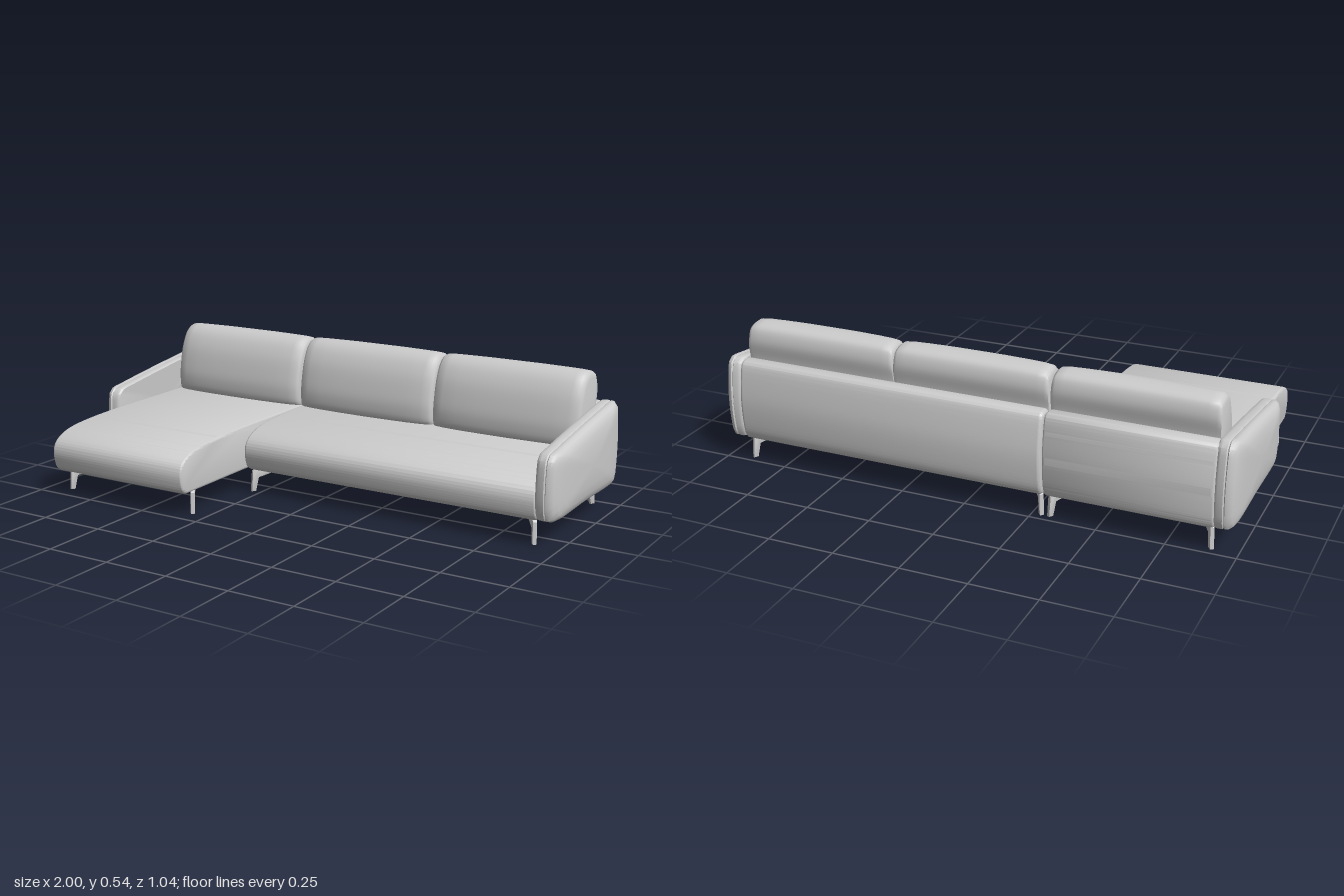
import * as THREE from 'three';
import { toCreasedNormals } from 'three/addons/utils/BufferGeometryUtils.js';

const material = new THREE.MeshStandardMaterial({ color: 0xcccccc });

function addMesh(parent, name, geometry, crease = 0.7) {
  const mesh = new THREE.Mesh(toCreasedNormals(geometry, crease), material);
  mesh.name = name;
  parent.add(mesh);
  return mesh;
}

// Side profile (z, y) extruded across x from x0 to x1 with rounded ends
function extrudeAcross(shape, x0, x1, bevel) {
  const depth = x1 - x0 - 2 * bevel;
  const geometry = new THREE.ExtrudeGeometry(shape, {
    depth, curveSegments: 24, bevelSize: bevel, bevelThickness: bevel,
    bevelOffset: -bevel, bevelSegments: 4,
  });
  geometry.translate(0, 0, -depth / 2);
  geometry.rotateY(-Math.PI / 2);
  geometry.translate((x0 + x1) / 2, 0, 0);
  return geometry;
}

// Closed side outline (z, y) lofted along x; rings are [x, zScale, yScale] about an anchor
function loft(outline, anchor, rings) {
  const count = 64;
  const curve = new THREE.CatmullRomCurve3(
    outline.map(([z, y]) => new THREE.Vector3(0, y, z)), true, 'centripetal');
  const points = curve.getSpacedPoints(count).slice(0, count);
  const [az, ay] = anchor;
  const all = [[rings[0][0], 0, 0], ...rings, [rings[rings.length - 1][0], 0, 0]];
  const positions = [];
  const index = [];
  all.forEach(([x, sz, sy], i) => {
    points.forEach((p, j) => {
      positions.push(x, ay + (p.y - ay) * sy, az + (p.z - az) * sz);
      if (i === all.length - 1) return;
      const a = i * count + j, b = i * count + (j + 1) % count;
      if (i > 0) index.push(a, b, a + count);
      else index.push(b, b + count, a + count);
      if (i > 0 && i < all.length - 2) index.push(b, b + count, a + count);
    });
  });
  const geometry = new THREE.BufferGeometry();
  geometry.setAttribute('position', new THREE.Float32BufferAttribute(positions, 3));
  geometry.setIndex(index);
  return geometry;
}

// Seat with a soft, rolled front edge at z = front
function seatShape(front) {
  const shape = new THREE.Shape();
  shape.moveTo(-0.44, 0.09);
  shape.lineTo(front - 0.035, 0.09);
  shape.splineThru([[-0.012, 0.11], [0, 0.165], [-0.014, 0.207], [-0.06, 0.236],
    [-0.13, 0.252], [-0.25, 0.261], [-0.4, 0.265]]
    .map(([z, y]) => new THREE.Vector2(front + z, y)));
  shape.lineTo(-0.44, 0.265);
  return shape;
}

// Back panel, bowed slightly to the rear
function backShape() {
  const shape = new THREE.Shape();
  shape.moveTo(-0.43, 0.09);
  shape.lineTo(-0.43, 0.385);
  shape.splineThru([[-0.445, 0.4], [-0.485, 0.4], [-0.503, 0.375], [-0.517, 0.29],
    [-0.52, 0.22], [-0.513, 0.14], [-0.5, 0.1], [-0.485, 0.09]]
    .map(([z, y]) => new THREE.Vector2(z, y)));
  return shape;
}

// Loose back cushion, fullest in the middle
function cushion(x0, x1) {
  const outline = [[-0.36, 0.535], [-0.32, 0.514], [-0.285, 0.46], [-0.263, 0.385],
    [-0.255, 0.32], [-0.265, 0.265], [-0.29, 0.258], [-0.42, 0.258], [-0.435, 0.3],
    [-0.44, 0.4], [-0.45, 0.47], [-0.438, 0.515], [-0.425, 0.526]];
  const middle = (x0 + x1) / 2, half = (x1 - x0) / 2;
  const side = [[1, 0.76, 0.88], [0.985, 0.83, 0.95], [0.95, 0.88, 0.98],
    [0.85, 0.925, 0.99], [0.65, 0.965, 0.995], [0.35, 0.99, 1]];
  const rings = [
    ...side.map(([t, a, b]) => [middle - t * half, a, b]),
    [middle, 1, 1],
    ...side.map(([t, a, b]) => [middle + t * half, a, b]).reverse(),
  ];
  return loft(outline, [-0.41, 0.28], rings);
}

// Armrest: flat inner panel, seam groove, domed outer shell
function armrest(sign) {
  const outline = [[0.095, 0.333], [0.113, 0.317], [0.12, 0.28], [0.124, 0.2],
    [0.118, 0.13], [0.105, 0.1], [0.08, 0.09], [-0.2, 0.09], [-0.475, 0.09],
    [-0.498, 0.1], [-0.51, 0.15], [-0.515, 0.25], [-0.505, 0.35], [-0.493, 0.395],
    [-0.47, 0.409], [-0.43, 0.405], [-0.18, 0.374], [0.03, 0.344]];
  const rings = [[0.912, 0.97], [0.917, 0.99], [0.926, 1], [0.945, 1], [0.949, 0.985],
    [0.953, 1], [0.965, 0.99], [0.976, 0.95], [0.985, 0.87], [0.992, 0.73],
    [0.997, 0.5], [1, 0.2]]
    .map(([x, s]) => [x * sign, s, s])
    .sort((a, b) => a[0] - b[0]);
  return loft(outline, [-0.2, 0.235], rings);
}

// Bent leg: foot at the outer corner, bracket running diagonally inward
function leg() {
  const shape = new THREE.Shape([[0.003, 0], [0.021, 0], [0.033, 0.054], [0.062, 0.061],
    [0.1, 0.07], [0.1, 0.091], [0.02, 0.091], [0.008, 0.08]]
    .map(([s, y]) => new THREE.Vector2(s, y)));
  const geometry = new THREE.ExtrudeGeometry(shape, {
    depth: 0.01, bevelSize: 0.003, bevelThickness: 0.003, bevelOffset: -0.003, bevelSegments: 2,
  });
  geometry.translate(0, 0, -0.005);
  return geometry;
}

export function createModel() {
  const sofa = new THREE.Group();
  sofa.name = 'cornerSofa';

  // Chaise and two-place section
  const sections = [
    { name: 'chaise', x0: -0.918, x1: -0.303, front: 0.515 },
    { name: 'bench', x0: -0.299, x1: 0.914, front: 0.12 },
  ];
  for (const { name, x0, x1, front } of sections) {
    const section = new THREE.Group();
    section.name = name;
    sofa.add(section);
    addMesh(section, name + 'Seat', extrudeAcross(seatShape(front), x0, x1, 0.012));
    addMesh(section, name + 'Back', extrudeAcross(backShape(), x0, x1, 0.014));

    // A leg at each corner of the section
    for (const side of [-1, 1]) {
      for (const end of [-1, 1]) {
        const foot = addMesh(section, name + 'Leg', leg(), 0.4);
        foot.position.set(side < 0 ? x0 + 0.008 : x1 - 0.008, 0, end < 0 ? -0.475 : front - 0.08);
        if (end > 0) foot.position.z = front - (name === 'chaise' ? 0.08 : 0.033);
        foot.rotation.y = Math.atan2(end * 0.82, -side * 0.57);
      }
    }
  }

  // Three back cushions
  for (const [x0, x1] of [[-0.907, -0.305], [-0.296, 0.302], [0.306, 0.908]]) {
    addMesh(sofa, 'backCushion', cushion(x0, x1), 0.8);
  }

  // Mirrored armrests
  addMesh(sofa, 'leftArmrest', armrest(1));
  addMesh(sofa, 'rightArmrest', armrest(-1));

  return sofa;
}
